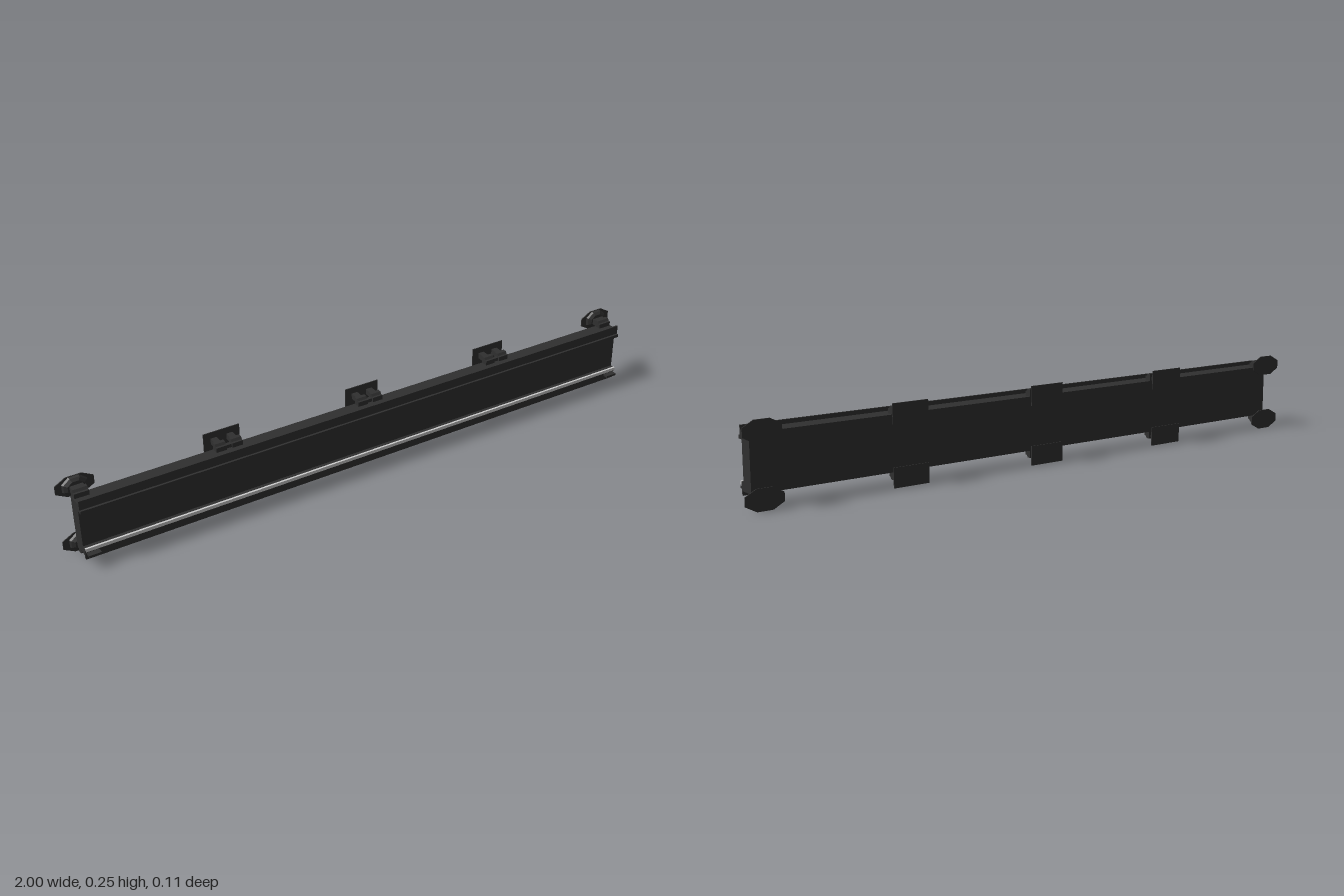
import * as THREE from 'three';

const MID = 0.1275; // mirror height between the upper and lower halves
const HALF = 0.967; // half length of the beam
const dark = new THREE.MeshStandardMaterial({ color: 0x303030, flatShading: true });
const light = new THREE.MeshStandardMaterial({ color: 0xcccccc });

function add(parent, name, geometry, material = dark) {
  const mesh = new THREE.Mesh(geometry, material);
  mesh.name = name;
  parent.add(mesh);
  return mesh;
}

// Box given by its limits on each axis
function box(parent, name, [x0, x1], [y0, y1], [z0, z1], material) {
  const g = new THREE.BoxGeometry(x1 - x0, Math.abs(y1 - y0), z1 - z0);
  g.translate((x0 + x1) / 2, (y0 + y1) / 2, (z0 + z1) / 2);
  return add(parent, name, g, material);
}

// Extrudes a [z, y] section along x, centred on cx
function section(parent, name, points, length, cx = 0) {
  const shape = new THREE.Shape(points.map(([z, y]) => new THREE.Vector2(z, y)));
  const g = new THREE.ExtrudeGeometry(shape, { depth: length, bevelEnabled: false });
  g.rotateY(-Math.PI / 2);
  g.translate(cx + length / 2, 0, 0);
  return add(parent, name, g);
}

// Eight-sided turned part whose axis is z, stretched along x
function octagon(parent, name, profile, stretch, cx, cy) {
  const k = 1 / Math.cos(Math.PI / 8);
  const pts = profile.map(([r, z]) => new THREE.Vector2(r * k, z));
  const g = new THREE.LatheGeometry(pts, 8, Math.PI / 8);
  g.rotateX(Math.PI / 2);
  g.scale(stretch, 1, 1);
  g.translate(cx, cy, 0);
  return add(parent, name, g);
}

// Clamp that hooks onto the beam edge
function clamp(parent, y, width, cx) {
  section(parent, 'clamp', [
    [-0.023, y(0.08)], [0, y(0.08)], [0, y(0.1)], [-0.006, y(0.101)],
    [-0.011, y(0.108)], [-0.023, y(0.108)],
  ], width, cx);
}

// Padded foot at a beam corner
function endFoot(parent, y, cx) {
  const foot = new THREE.Group();
  foot.name = 'endFoot';
  parent.add(foot);
  const cy = y(0.0945);
  clamp(foot, y, 0.045, cx);
  box(foot, 'footPost', [cx - 0.02, cx + 0.02], [y(0.085), y(0.104)], [-0.04, -0.022]);
  octagon(foot, 'footPlate',
    [[0, -0.055], [0.032, -0.055], [0.032, -0.052], [0, -0.052]], 1.81, cx, cy);
  octagon(foot, 'footHub',
    [[0, -0.053], [0.031, -0.053], [0.028, -0.045], [0.02, -0.038], [0, -0.038]], 1.25, cx, cy);
}

// Flat wall plate on two posts
function wallBracket(parent, y, cx) {
  const bracket = new THREE.Group();
  bracket.name = 'wallBracket';
  parent.add(bracket);
  box(bracket, 'wallPlate', [cx - 0.059, cx + 0.059], [y(0.063), y(0.124)], [-0.055, -0.052]);
  for (const side of [-1, 1]) {
    const px = cx + side * 0.026;
    clamp(bracket, y, 0.034, px);
    box(bracket, 'bracketPost', [px - 0.01, px + 0.01], [y(0.086), y(0.104)], [-0.053, -0.022]);
  }
  box(bracket, 'clampBridge', [cx - 0.03, cx + 0.03], [y(0.084), y(0.096)], [-0.018, -0.006]);
}

export function createModel() {
  const model = new THREE.Group();
  model.name = 'barrierBeam';

  // Main panel
  box(model, 'panel', [-HALF, HALF], [MID - 0.085, MID + 0.085], [-0.023, 0.025]);

  for (const s of [1, -1]) {
    const y = (offset) => MID + s * offset;

    // Front rail with an upright flange and a lip
    section(model, s > 0 ? 'upperRail' : 'lowerRail', [
      [0.024, y(0.0595)], [0.044, y(0.0595)], [0.044, y(0.0695)], [0.037, y(0.0695)],
      [0.037, y(0.0985)], [0.031, y(0.0985)], [0.031, y(0.086)], [0.015, y(0.086)],
      [0, y(0.084)], [0.024, y(0.08)],
    ], HALF * 2);

    for (const x of [-0.942, 0.942]) endFoot(model, y, x);
    for (const x of [-0.485, 0, 0.485]) wallBracket(model, y, x);
  }

  // Pale strip along the lower lip
  box(model, 'paleStrip', [-HALF, HALF], [0.059, 0.0695], [0.038, 0.0448], light);

  // Pins at the ends of the lower rail
  for (const s of [-1, 1]) {
    box(model, 'endPin', [s * 0.944 - 0.019, s * 0.944 + 0.019], [0.045, 0.052], [0.03, 0.056]);
  }
  return model;
}
